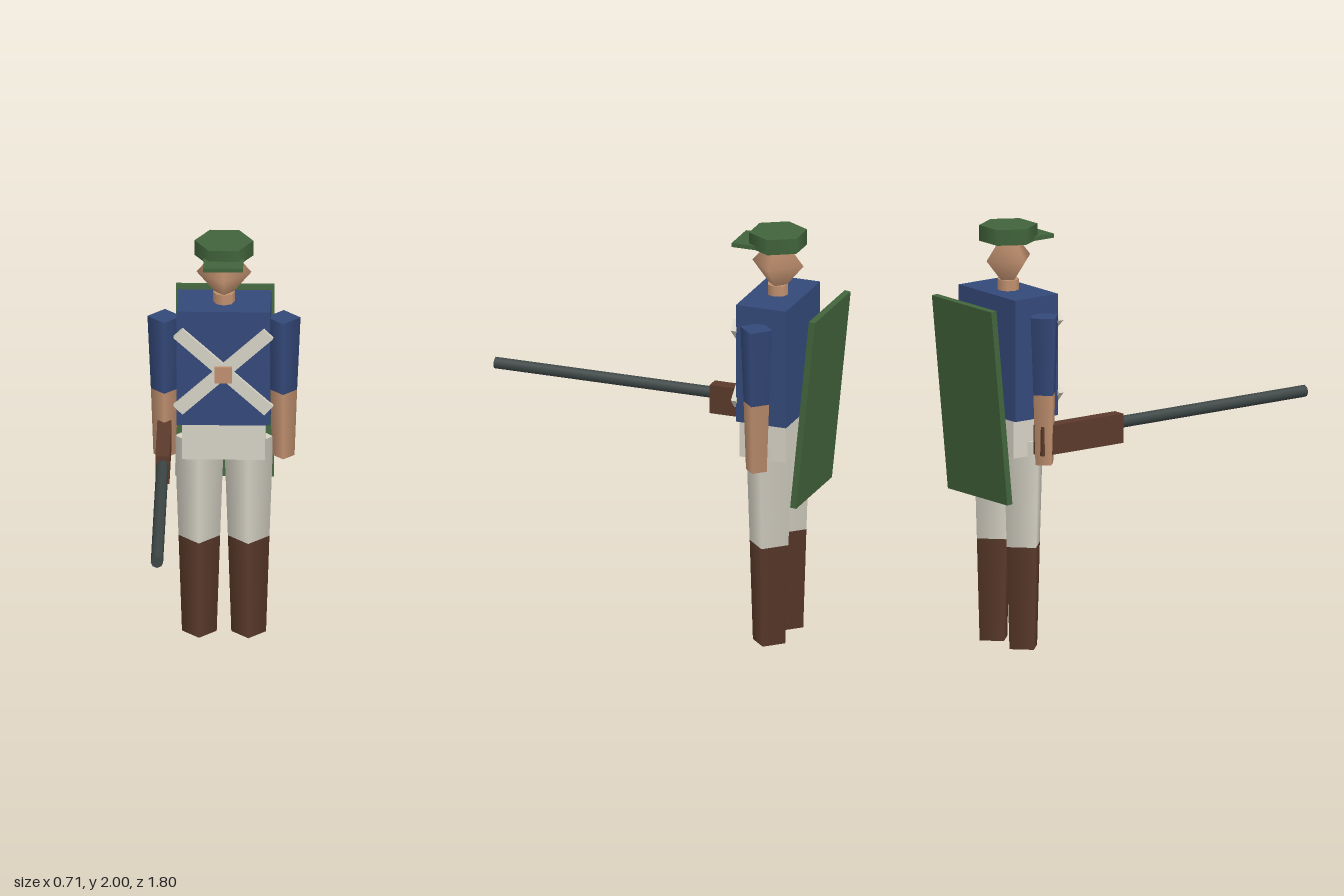
import * as THREE from 'three';

const paint = (name, color) => {
  const m = new THREE.MeshStandardMaterial({ color });
  m.name = name;
  return m;
};

export function createModel() {
  const blue = paint('coatBlue', 0x34497a);
  const green = paint('capGreen', 0x41643b);
  const cream = paint('trouserCream', 0xd6d2c5);
  const brown = paint('leatherBrown', 0x5b3a2b);
  const skin = paint('skin', 0xc0906f);
  const steel = paint('gunSteel', 0x3c4545);

  const model = new THREE.Group();
  model.name = 'soldier';
  const BODY_Z = -0.623;

  const add = (name, geometry, material, x, y, z) => {
    const mesh = new THREE.Mesh(geometry, material);
    mesh.name = name;
    mesh.position.set(x, y, z);
    model.add(mesh);
    return mesh;
  };
  const box = (name, material, w, h, d, x, y, z) =>
    add(name, new THREE.BoxGeometry(w, h, d), material, x, y, z);
  // Upright tapered post between two heights, on the body's centre plane
  const post = (name, material, sides, rTop, rBottom, y0, y1, x = 0) =>
    add(name, new THREE.CylinderGeometry(rTop, rBottom, y1 - y0, sides), material, x, (y0 + y1) / 2, BODY_Z);

  // Trunk
  box('torso', blue, 0.436, 0.58, 0.25, 0, 1.4, BODY_Z);
  box('hips', cream, 0.388, 0.18, 0.232, 0, 1.02, BODY_Z);

  // Four-sided tapered limbs
  for (const [side, s] of [['left', 1], ['right', -1]]) {
    post(side + 'Boot', brown, 4, 0.097, 0.081, 0, 0.49, s * 0.115);
    post(side + 'Trouser', cream, 4, 0.115, 0.097, 0.49, 1.0, s * 0.115);
    post(side + 'Forearm', skin, 4, 0.064, 0.052, 0.905, 1.24, s * 0.277);
    post(side + 'Sleeve', blue, 4, 0.08, 0.064, 1.24, 1.61, s * 0.277);
  }

  // Head and cap
  post('neck', skin, 8, 0.051, 0.051, 1.68, 1.74);
  const head = add('head', new THREE.SphereGeometry(0.128, 4, 2), skin, 0, 1.84, BODY_Z);
  head.scale.y = 1.2;
  post('cap', green, 6, 0.137, 0.137, 1.925, 2.0).rotation.y = Math.PI / 6;
  box('capVisor', green, 0.185, 0.02, 0.14, 0, 1.935, -0.497);

  // Crossed chest straps with a buckle
  for (const s of [1, -1]) {
    box('chestStrap', cream, 0.577, 0.062, 0.025, 0, 1.39, -0.4895 + s * 0.0005).rotation.z = s * 0.747;
  }
  box('strapBuckle', skin, 0.082, 0.082, 0.035, 0, 1.38, -0.4825);

  // Long gun held in the right hand
  box('gunStock', brown, 0.066, 0.14, 0.475, -0.277, 1.02, -0.4225);
  add('gunBarrel', new THREE.CylinderGeometry(0.029, 0.029, 1.085, 8), steel, -0.277, 1.043, 0.3575)
    .rotation.x = Math.PI / 2;

  // Leaning slab behind the back
  box('backBoard', green, 0.458, 0.94, 0.03, 0, 1.19, -0.835).rotation.x = -0.1;

  return model;
}
